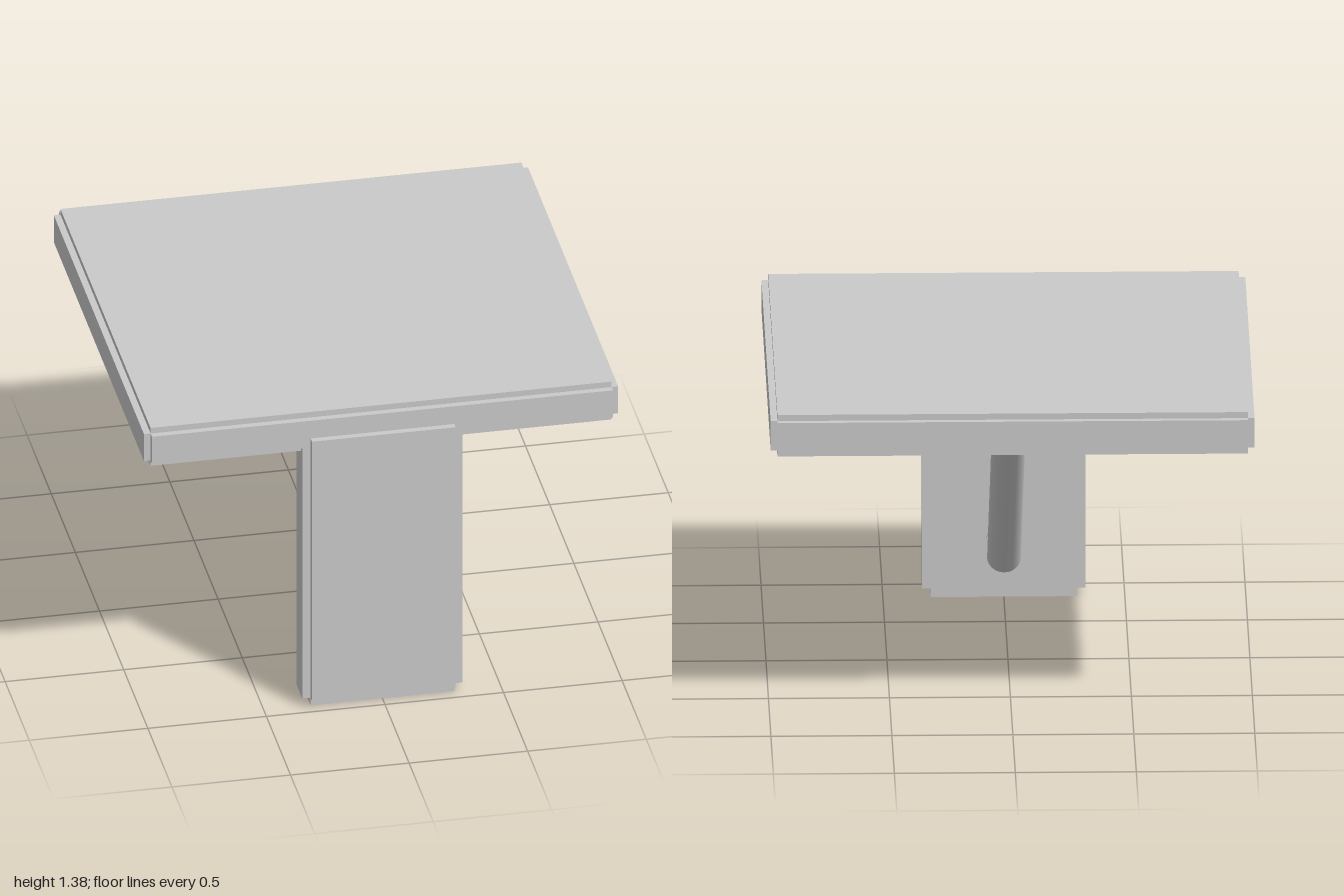
import * as THREE from 'three';

const grey = new THREE.MeshStandardMaterial({ color: 0xcacaca });
grey.name = 'plain grey';

// Block with square notches along all edges: three crossing boxes,
// each full length on one axis and inset on the other two.
function notchedBlock(name, min, max, inset) {
  const block = new THREE.Group();
  block.name = name;
  const size = max.map((m, i) => m - min[i]);
  const centre = max.map((m, i) => (m + min[i]) / 2);
  ['Width', 'Height', 'Depth'].forEach((label, axis) => {
    const dims = size.map((s, i) => (i === axis ? s : s - 2 * inset[i]));
    const mesh = new THREE.Mesh(new THREE.BoxGeometry(...dims), grey);
    mesh.name = name + label;
    mesh.position.set(...centre);
    block.add(mesh);
  });
  return block;
}

// Round bar between two points
function bar(name, from, to, radius) {
  const a = new THREE.Vector3(...from);
  const b = new THREE.Vector3(...to);
  const dir = b.clone().sub(a);
  const mesh = new THREE.Mesh(new THREE.CylinderGeometry(radius, radius, dir.length(), 48), grey);
  mesh.name = name;
  mesh.position.copy(a).add(b).multiplyScalar(0.5);
  mesh.quaternion.setFromUnitVectors(new THREE.Vector3(0, 1, 0), dir.normalize());
  return mesh;
}

export function createModel() {
  const model = new THREE.Group();
  model.name = 'bracketShelf';

  // Square shelf top
  model.add(notchedBlock('shelfBoard', [-1, 1.2, -0.976], [1, 1.38, 0.948], [0.028, 0.026, 0.028]));
  // Upright mounting plate, its top tucked into the board
  model.add(notchedBlock('mountingPlate', [-0.338, 0, 0.8], [0.338, 1.307, 0.976], [0.035, 0.037, 0.029]));
  // Thin pad under the board
  model.add(notchedBlock('supportPad', [-0.338, 1.17, -0.566], [0.338, 1.23, -0.1], [0.017, 0.016, 0.014]));

  // Diagonal brace
  model.add(bar('brace', [0, 0.185, 0.792], [0, 1.21, -0.345], 0.07));

  // Round bolt heads on the inner face of the mounting plate
  [['upperBolt', 0.887], ['lowerBolt', 0.258]].forEach(([name, y]) => {
    model.add(bar(name, [0, y, 0.84], [0, y, 0.776], 0.073));
  });

  return model;
}
